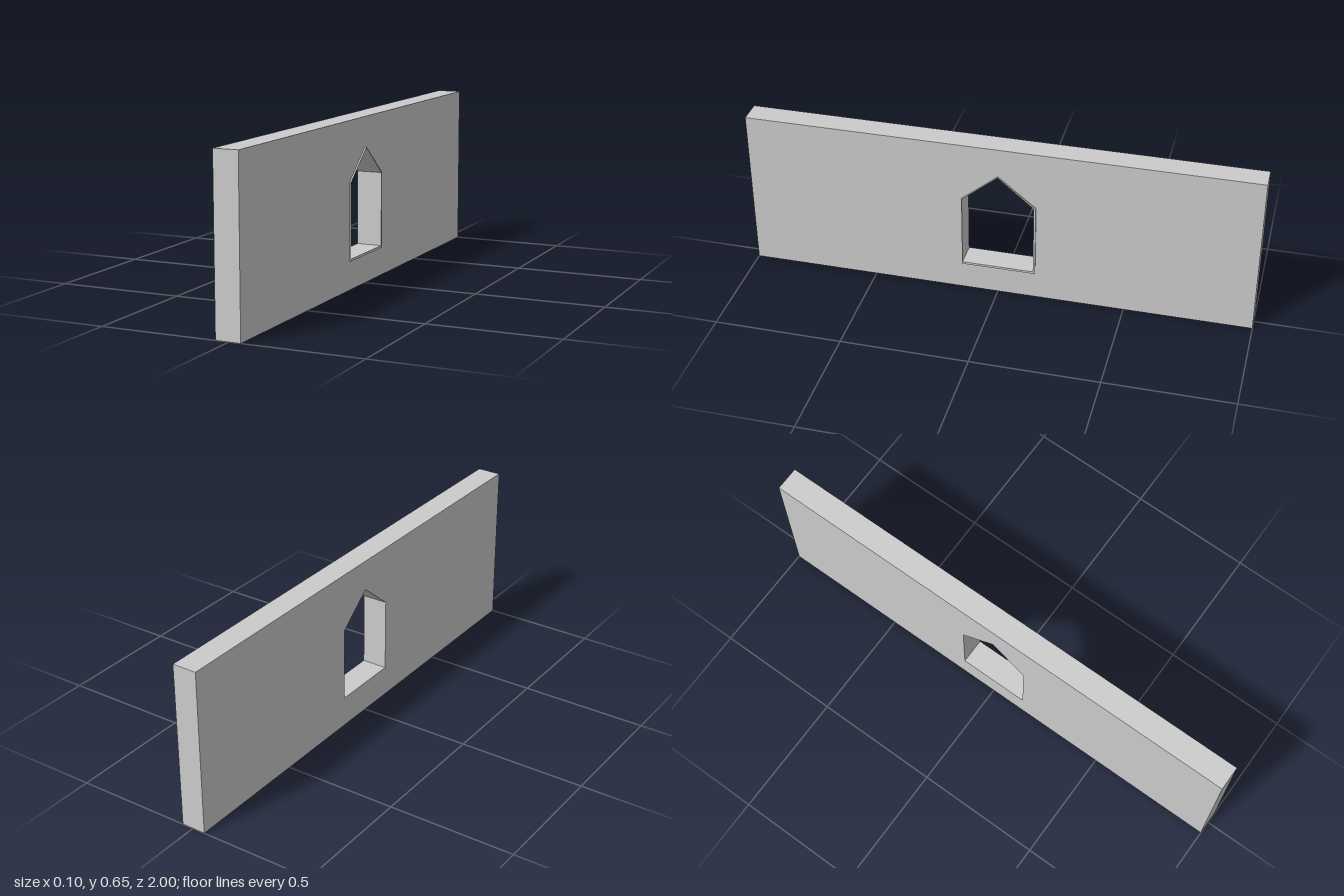
import * as THREE from 'three';

const material = new THREE.MeshStandardMaterial({ color: 0xcccccc, flatShading: true });
const points = (list) => list.map(([u, v]) => new THREE.Vector2(u, v));

// Gabled opening outline; u runs along -z, v is height
const gable = (u0, u1, bottom, shoulder, apex) =>
  points([[u0, bottom], [u1, bottom], [u1, shoulder], [0, apex], [u0, shoulder]]);

// Panel with a hole, extruded along x from x0 to x1
function panel(name, outline, hole, x0, x1) {
  const shape = new THREE.Shape(outline);
  shape.holes.push(new THREE.Path(hole));
  const geometry = new THREE.ExtrudeGeometry(shape, { depth: x1 - x0, bevelEnabled: false });
  geometry.rotateY(Math.PI / 2).translate(x0, 0, 0);
  const mesh = new THREE.Mesh(geometry, material);
  mesh.name = name;
  return mesh;
}

export function createModel() {
  const model = new THREE.Group();
  model.name = 'wallWithWindow';
  const opening = gable(-0.141, 0.141, 0.121, 0.412, 0.529);

  // Long wall slab with the gabled opening cut through
  const slab = points([[-1, 0], [1, 0], [1, 0.648], [-1, 0.648]]);
  model.add(panel('wall', slab, opening, -0.051, 0.045));

  // Thin raised trim around the opening on the left face
  const trim = gable(-0.143, 0.149, 0.112, 0.413, 0.532);
  model.add(panel('windowTrim', trim, opening, 0.045, 0.051));
  return model;
}
